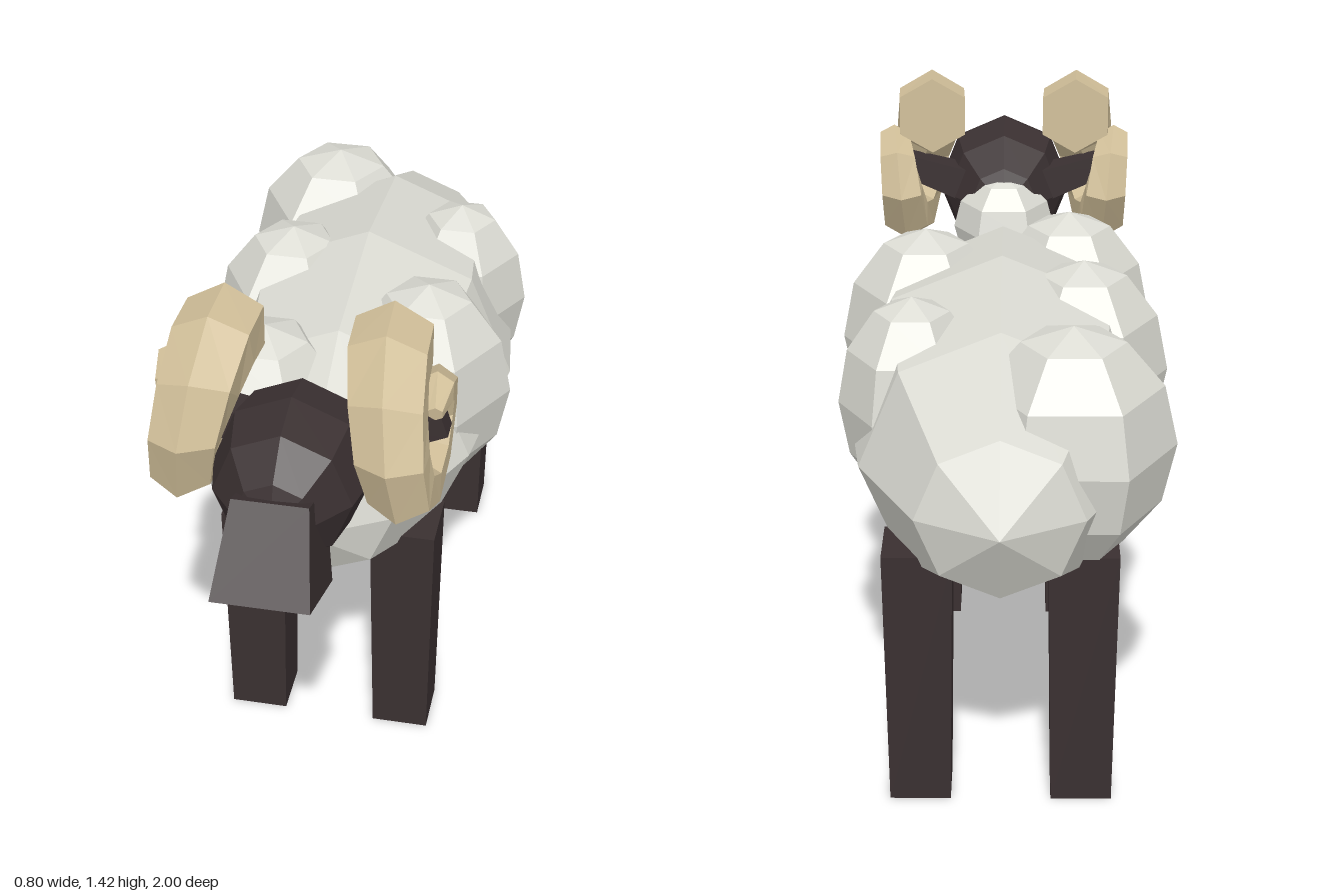
import * as THREE from 'three';

const wool = new THREE.MeshStandardMaterial({ color: 0xdcdcd4 });
wool.name = 'wool';
const hide = new THREE.MeshStandardMaterial({ color: 0x3a3031 });
hide.name = 'dark hide';
const hornColor = new THREE.MeshStandardMaterial({ color: 0xd2c09a });
hornColor.name = 'horn';

// Faceted mesh: every face keeps its own normal
function part(name, geometry, material, x = 0, y = 0, z = 0) {
  const g = geometry.index ? geometry.toNonIndexed() : geometry;
  g.computeVertexNormals();
  const mesh = new THREE.Mesh(g, material);
  mesh.name = name;
  mesh.position.set(x, y, z);
  return mesh;
}

// Ellipsoid with its poles along z
function longBall(rx, ry, rz) {
  return new THREE.SphereGeometry(1, 8, 6).rotateX(Math.PI / 2).scale(rx, ry, rz);
}

// Box whose bottom face differs in size from its top face
function taperedBox(topW, topD, bottomW, bottomD, h) {
  const g = new THREE.BoxGeometry(1, h, 1);
  const p = g.attributes.position;
  for (let i = 0; i < p.count; i++) {
    const top = p.getY(i) > 0;
    p.setX(i, p.getX(i) * (top ? topW : bottomW));
    p.setZ(i, p.getZ(i) * (top ? topD : bottomD));
  }
  return g;
}

// Horn path: z, y, x, thickness
const HORN = [
  [0.47, 1.32, 0.19, 0.1], [0.57, 1.32, 0.195, 0.1], [0.655, 1.255, 0.21, 0.094],
  [0.7, 1.165, 0.228, 0.087], [0.68, 1.07, 0.245, 0.079], [0.59, 1.02, 0.257, 0.072],
  [0.485, 1.045, 0.265, 0.066], [0.435, 1.125, 0.272, 0.06], [0.46, 1.2, 0.283, 0.053],
  [0.53, 1.24, 0.295, 0.044], [0.605, 1.228, 0.305, 0.018],
];

// Six-sided tube curling around the ear
function hornGeometry(side) {
  const rings = HORN.map(([z, y, x, r], i) => {
    const a = HORN[Math.max(i - 1, 0)], b = HORN[Math.min(i + 1, HORN.length - 1)];
    const len = Math.hypot(b[0] - a[0], b[1] - a[1]);
    const nz = -(b[1] - a[1]) / len, ny = (b[0] - a[0]) / len;
    return Array.from({ length: 6 }, (_, j) => {
      const t = j * Math.PI / 3, c = r * Math.cos(t);
      return [side * (x + r * Math.sin(t)), y + c * ny, z + c * nz];
    });
  });
  const pos = [];
  const tri = (a, b, c) => pos.push(...a, ...(side > 0 ? b : c), ...(side > 0 ? c : b));
  const last = rings.length - 1;
  for (let i = 0; i < last; i++) {
    for (let j = 0; j < 6; j++) {
      const k = (j + 1) % 6;
      tri(rings[i][j], rings[i + 1][j], rings[i][k]);
      tri(rings[i][k], rings[i + 1][j], rings[i + 1][k]);
    }
  }
  for (let j = 1; j < 5; j++) {
    tri(rings[0][0], rings[0][j], rings[0][j + 1]);
    tri(rings[last][0], rings[last][j + 1], rings[last][j]);
  }
  const g = new THREE.BufferGeometry();
  g.setAttribute('position', new THREE.Float32BufferAttribute(pos, 3));
  return g;
}

export function createModel() {
  const model = new THREE.Group();
  model.name = 'ram';

  // Body and neck
  model.add(part('body', longBall(0.375, 0.375, 0.77), wool, 0, 0.79, -0.23));
  model.add(part('neck', new THREE.SphereGeometry(1, 6, 6).scale(0.135, 0.14, 0.135), wool, 0, 1.01, 0.49));

  // Wool tufts: x, y, z, radius, height radius
  const tufts = [
    [0.19, 0.88, -0.015, 0.21, 0.283], [0.205, 0.88, -0.45, 0.175, 0.26],
    [-0.17, 0.86, 0.2, 0.21, 0.28], [-0.195, 0.88, -0.235, 0.205, 0.275],
    [-0.16, 0.87, -0.665, 0.235, 0.28],
  ];
  for (const [x, y, z, r, h] of tufts) {
    model.add(part('woolTuft', new THREE.SphereGeometry(1, 6, 6).scale(r, h, r), wool, x, y, z));
  }

  // Head and muzzle
  model.add(part('head', longBall(0.18, 0.19, 0.22), hide, 0, 1.08, 0.66));
  const muzzle = part('muzzle', taperedBox(0.17, 0.174, 0.22, 0.25, 0.22), hide, 0, 1.014, 0.843);
  muzzle.rotation.x = -0.393;
  model.add(muzzle);

  for (const side of [1, -1]) {
    const label = side > 0 ? 'left' : 'right';
    // Horn and ear
    model.add(part(label + 'Horn', hornGeometry(side), hornColor));
    const ear = part(label + 'Ear', taperedBox(0.05, 0.055, 0.085, 0.085, 0.22), hide, side * 0.22, 1.15, 0.565);
    ear.rotation.z = -side * 1.25;
    model.add(ear);
    // Legs
    model.add(part(label + 'FrontLeg', taperedBox(0.16, 0.16, 0.142, 0.14, 0.636), hide, side * 0.188, 0.318, 0.23));
    model.add(part(label + 'BackLeg', taperedBox(0.16, 0.16, 0.142, 0.14, 0.636), hide, side * 0.188, 0.318, -0.69));
  }
  return model;
}
